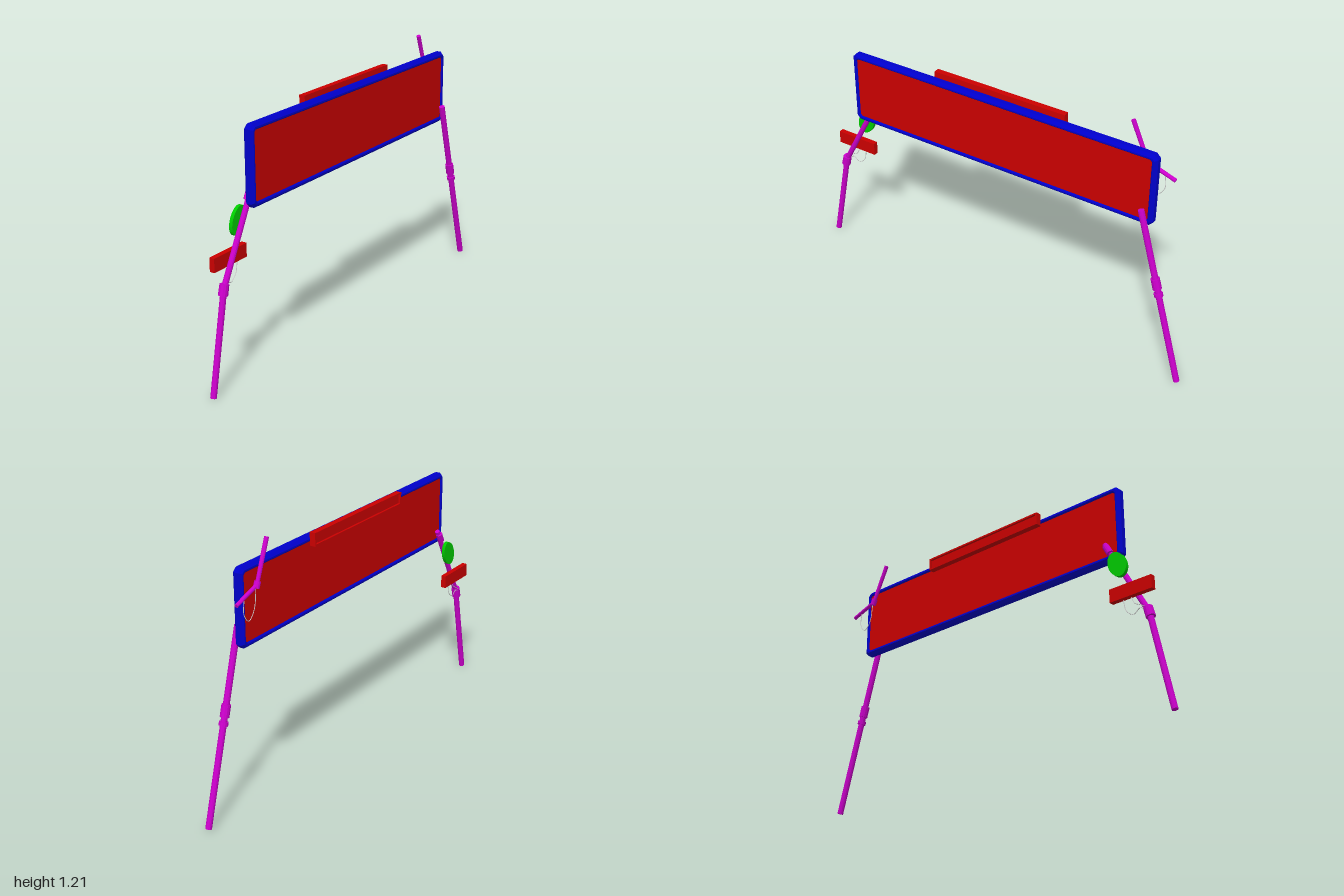
import * as THREE from 'three';

const mat = (color) => new THREE.MeshStandardMaterial({ color, flatShading: true });
const purple = mat(0xcc00cc), red = mat(0xcc0000), blue = mat(0x0000cc), green = mat(0x00cc00), grey = mat(0xcccccc);
const V = (x, y, z) => new THREE.Vector3(x, y, z);

export function createModel() {
  const model = new THREE.Group();
  const add = (name, geometry, material, parent = model) => {
    const mesh = new THREE.Mesh(geometry, material);
    mesh.name = name;
    parent.add(mesh);
    return mesh;
  };
  const group = (name) => {
    const g = new THREE.Group();
    g.name = name;
    model.add(g);
    return g;
  };
  // Round bar between two points
  const rod = (name, a, b, rA, rB, parent) => {
    const mesh = add(name, new THREE.CylinderGeometry(rB, rA, a.distanceTo(b), 12), purple, parent);
    mesh.position.copy(a).lerp(b, 0.5);
    mesh.quaternion.setFromUnitVectors(V(0, 1, 0), b.clone().sub(a).normalize());
  };
  const box = (name, x0, x1, y0, y1, z0, z1, material, parent) => {
    const mesh = add(name, new THREE.BoxGeometry(x1 - x0, y1 - y0, z1 - z0), material, parent);
    mesh.position.set((x0 + x1) / 2, (y0 + y1) / 2, (z0 + z1) / 2);
  };
  const wire = (name, points) =>
    add(name, new THREE.TubeGeometry(new THREE.CatmullRomCurve3(points), 20, 0.0017, 5), grey);
  // Rectangle with cut corners, centred on the origin
  const cutRect = (Type, w, h, c) => new Type([
    [-w + c, -h], [w - c, -h], [w, -h + c], [w, h - c], [w - c, h], [-w + c, h], [-w, h - c], [-w, -h + c],
  ].map(([x, y]) => new THREE.Vector2(x, y)));

  // Long board: bevelled frame around a thin panel
  const board = group('board');
  board.position.set(0.003, 0.937, -0.014);
  const bevel = 0.012, hw = 0.777, hh = 0.174, rim = 0.031;
  const outline = cutRect(THREE.Shape, hw - bevel, hh - bevel, 0.012);
  outline.holes.push(cutRect(THREE.Path, hw - rim + bevel, hh - rim + bevel, 0.012));
  const frameGeo = new THREE.ExtrudeGeometry(outline, {
    depth: 0.022, bevelEnabled: true, bevelThickness: bevel, bevelSize: bevel, bevelSegments: 1,
  });
  frameGeo.translate(0, 0, -0.011).rotateY(Math.PI / 2);
  add('boardFrame', frameGeo, blue, board);
  add('boardPanel', new THREE.BoxGeometry(0.034, (hh - 0.018) * 2, (hw - 0.018) * 2), red, board);

  // Shallow tray on the upper edge, with a raised rim
  const tray = group('topTray');
  box('trayBack', -0.038, -0.02, 1.07, 1.13, -0.333, 0.333, red, tray);
  for (const y of [1.07, 1.122]) box('trayRim', -0.048, -0.038, y, y + 0.008, -0.333, 0.333, red, tray);
  for (const z of [-0.333, 0.325]) box('trayEnd', -0.048, -0.038, 1.07, 1.13, z, z + 0.008, red, tray);

  // Front leg, bent at the knee
  const fx = -0.034;
  const hip = V(fx, 0.835, 0.69), knee = V(fx, 0.455, 0.893), foot = V(fx, 0.006, 0.984);
  const frontLeg = group('frontLeg');
  rod('frontThigh', knee, hip, 0.013, 0.012, frontLeg);
  rod('frontShin', foot, knee, 0.0135, 0.0135, frontLeg);
  rod('frontKnee', V(fx, 0.428, 0.9), V(fx, 0.475, 0.888), 0.021, 0.02, frontLeg);
  rod('frontHipCollar', V(fx - 0.005, 0.78, 0.719), V(fx - 0.005, 0.82, 0.698), 0.016, 0.016, frontLeg);

  // Back leg, straight, with two collars
  const bx = 0.042;
  const top = V(bx, 0.846, -0.745), sole = V(bx, 0.012, -0.982);
  const at = (y) => sole.clone().lerp(top, (y - sole.y) / (top.y - sole.y));
  const backLeg = group('backLeg');
  rod('backLegTube', sole, top, 0.014, 0.014, backLeg);
  rod('backKnee', at(0.475), at(0.526), 0.02, 0.02, backLeg);
  rod('backKneeRing', at(0.44), at(0.456), 0.02, 0.02, backLeg);

  // Small bent arm at the back
  const elbow = V(-0.042, 1.028, -0.718);
  const arm = group('backArm');
  rod('upperArm', elbow, V(-0.037, 1.206, -0.642), 0.009, 0.01, arm);
  rod('lowerArm', elbow, V(-0.042, 0.983, -0.85), 0.009, 0.009, arm);
  rod('elbowCollar', V(-0.042, 1.015, -0.724), V(-0.042, 1.042, -0.712), 0.014, 0.014, arm);

  // Oval disc beside the front leg
  const disc = add('ovalDisc', new THREE.CylinderGeometry(1, 1, 0.016, 32).rotateZ(Math.PI / 2), green);
  disc.scale.set(1, 0.064, 0.042);
  disc.position.set(-0.054, 0.705, 0.765);
  disc.rotation.x = -0.45;

  // Short bar on the front leg
  box('shortBar', -0.068, -0.044, 0.535, 0.596, 0.725, 0.935, red, model);

  // Thin hanging cords
  wire('frontCord', [V(-0.05, 0.54, 0.78), V(-0.05, 0.48, 0.795), V(-0.05, 0.456, 0.83), V(-0.05, 0.475, 0.86), V(-0.05, 0.46, 0.89)]);
  wire('frontInnerCord', [V(-0.05, 0.54, 0.82), V(-0.05, 0.505, 0.835), V(-0.05, 0.49, 0.86), V(-0.05, 0.47, 0.89)]);
  wire('backCord', [V(-0.042, 1.0, -0.8), V(-0.042, 0.93, -0.805), V(-0.042, 0.892, -0.775), V(-0.042, 0.93, -0.74), V(-0.042, 1.02, -0.725)]);

  return model;
}
